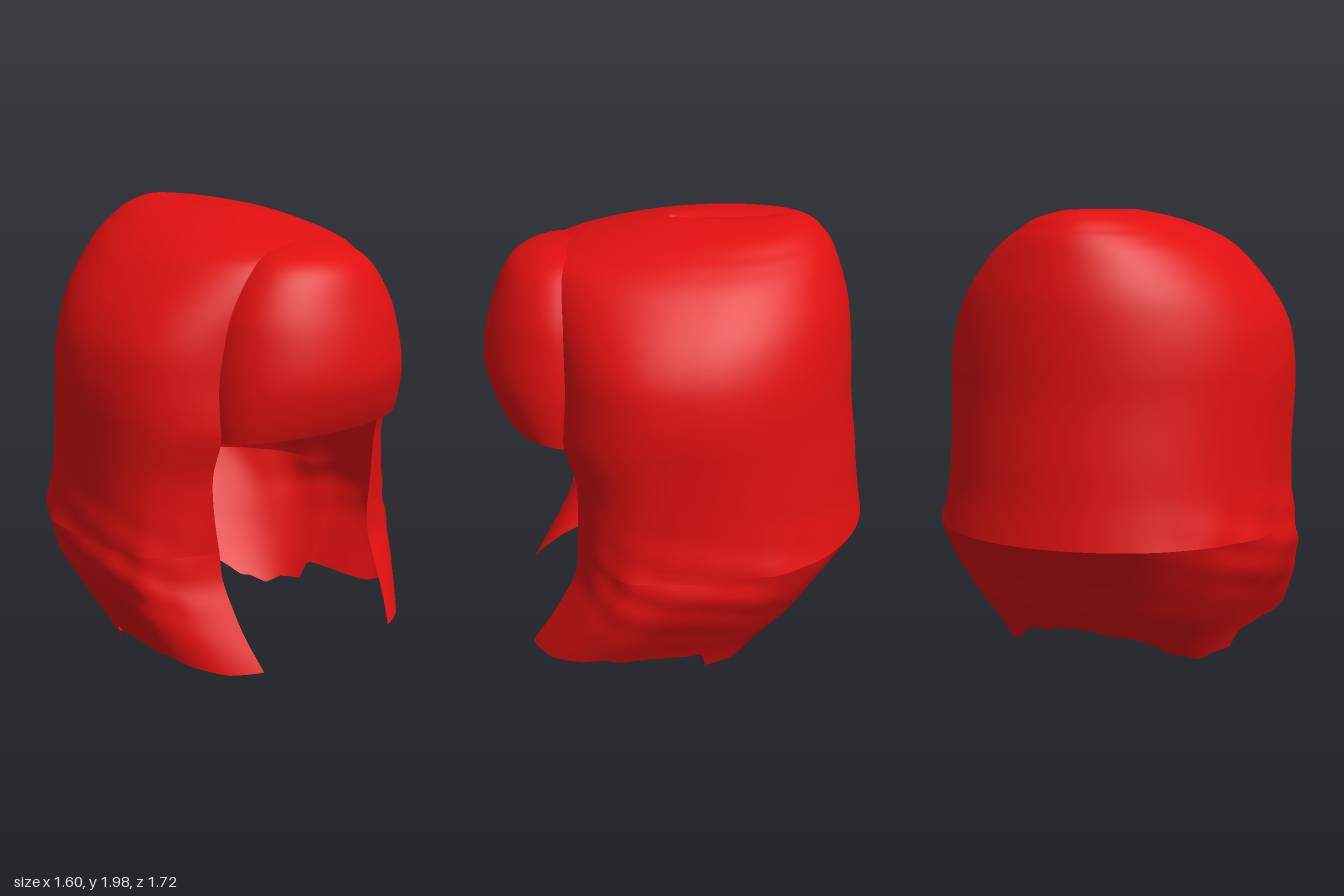
import * as THREE from 'three';

// Cross-sections from crown to brow to crease: [height, half width, back z, front edge z,
// centre z, front gap half width, front roundness, back roundness, front flare, fringe z]
const UPPER = [
  [1.975, 0, -0.38, 0.04, -0.26, 0, 1, 1, 0, 0],
  [1.99, 0.10, -0.51, 0.06, -0.26, 0, 1, 1, 0, 0.2],
  [1.955, 0.27, -0.60, 0.25, -0.20, 0, 0.95, 1, 0, 0.3],
  [1.905, 0.38, -0.65, 0.45, -0.12, 0, 0.9, 1, 0, 0.45],
  [1.87, 0.44, -0.675, 0.49, -0.10, 0.20, 0.85, 1, 0, 0.63],
  [1.80, 0.53, -0.705, 0.51, -0.08, 0.31, 0.8, 1, 0, 0.74],
  [1.65, 0.66, -0.75, 0.51, -0.04, 0.41, 0.75, 1, 0, 0.81],
  [1.50, 0.74, -0.77, 0.51, 0, 0.455, 0.7, 1, 0, 0.85],
  [1.35, 0.77, -0.78, 0.51, 0, 0.48, 0.7, 1, 0, 0.865],
  [1.22, 0.775, -0.785, 0.52, 0, 0.485, 0.7, 1, 0, 0.835],
  [1.11, 0.77, -0.795, 0.52, 0, 0.48, 0.7, 0.98, 0, 0.79],
  [0.95, 0.765, -0.815, 0.475, 0, 0.485, 0.68, 0.95, 0, 0.7],
  [0.78, 0.765, -0.83, 0.47, 0, 0.475, 0.62, 0.9, 0, 0.7],
  [0.60, 0.785, -0.855, 0.475, 0, 0.45, 0.58, 0.82, 0, 0.7],
];
const FRINGE_TOP = 3, FRINGE_END = 10;

// Under-curl below the crease, evenly spaced in height
const LOWER = [
  [0.60, 0.785, -0.855, 0.475, 0, 0.45, 0.58, 0.82, 0],
  [0.48, 0.78, -0.76, 0.49, 0, 0.445, 0.54, 0.85, 0.015],
  [0.36, 0.73, -0.68, 0.545, 0, 0.435, 0.5, 0.88, 0.05],
  [0.24, 0.665, -0.60, 0.61, 0, 0.42, 0.46, 0.9, 0.085],
  [0.12, 0.60, -0.48, 0.68, 0, 0.39, 0.42, 0.92, 0.11],
  [0.00, 0.55, -0.36, 0.74, 0, 0.36, 0.4, 0.95, 0.12],
];

// Smooth interpolation between table rows
function section(table, u) {
  const last = table.length - 1;
  const i = Math.min(Math.floor(u), last - 1), t = u - i;
  const row = k => table[Math.max(0, Math.min(last, k))];
  return table[i].map((b, c) => {
    const a = row(i - 1)[c], d = row(i + 1)[c], e = row(i + 2)[c];
    return b + 0.5 * t * (d - a + t * (2 * a - 5 * b + 4 * d - e + t * (3 * (b - d) + e - a)));
  });
}

// Point on a section; v runs from the left front edge, round the back, to the right
function shellPoint(table, u, v) {
  const [y, w, back, edge, cz, gap, frontRound, backRound, flare] = section(table, u);
  const start = w > 0.01 ? Math.asin(Math.min(1, Math.max(0, gap) / (w * (1 + flare)))) : 0;
  const a = start + v * (2 * Math.PI - 2 * start);
  const c = Math.cos(a);
  const depth = c > 0
    ? (edge - cz) * (c / Math.cos(start)) ** frontRound
    : (back - cz) * (-c) ** backRound;
  const wide = w * (1 + flare * THREE.MathUtils.smoothstep(c, -0.1, 0.25));
  // Folds on the sides around the height of the crease
  const mask = Math.exp(-(((y - 0.55) / 0.2) ** 2)) * Math.sin(a) ** 4;
  const k = 1 + 0.018 * mask * Math.sin(a * 13 + y * 17) * Math.cos(a * 5 - y * 21);
  return [wide * Math.sin(a) * k, y, cz + depth * k];
}

// Ragged bottom edge: height at fraction s from front edge (0) to nape (1)
const HEM = [[0, 0.10], [0.12, 0.10], [0.24, 0.13], [0.29, 0.16], [0.33, 0.125], [0.42, 0.125],
  [0.45, 0.05], [0.55, 0.045], [0.62, 0.01], [0.68, 0.045], [0.72, 0.05], [0.8, 0.12],
  [0.85, 0.145], [0.91, 0.15], [0.95, 0.18], [1, 0.18]];
function hem(v) {
  const s = 1 - Math.abs(2 * v - 1);
  const i = Math.max(1, HEM.findIndex(p => p[0] >= s - 1e-9));
  const [s0, y0] = HEM[i - 1], [s1, y1] = HEM[i];
  return y0 + (y1 - y0) * (s - s0) / (s1 - s0);
}

// Surface from a grid of points, rows running downward
function surface(name, rows, cols, point, material) {
  const pos = [], index = [];
  for (let i = 0; i <= rows; i++) {
    for (let j = 0; j <= cols; j++) {
      pos.push(...point(i / rows, j / cols));
      if (i < rows && j < cols) {
        const a = i * (cols + 1) + j, b = a + cols + 1;
        index.push(a, b, a + 1, a + 1, b, b + 1);
      }
    }
  }
  const g = new THREE.BufferGeometry();
  g.setAttribute('position', new THREE.Float32BufferAttribute(pos, 3));
  g.setIndex(index);
  g.computeVertexNormals();
  const mesh = new THREE.Mesh(g, material);
  mesh.name = name;
  return mesh;
}

export function createModel() {
  const group = new THREE.Group();
  group.name = 'hair';
  const red = new THREE.MeshStandardMaterial({ color: 0xe01010, side: THREE.DoubleSide });
  red.name = 'red hair';

  // Crown with its parting, sides and back down to the crease
  group.add(surface('crownAndSides', 65, 160,
    (t, v) => shellPoint(UPPER, t * (UPPER.length - 1), v), red));

  // Tucked-under ends with a ragged hem
  group.add(surface('underCurl', 20, 160,
    (t, v) => shellPoint(LOWER, t * (0.6 - hem(v)) / 0.12, v), red));

  // Rounded fringe bulging out over the forehead
  group.add(surface('fringe', 40, 40, (t, v) => {
    const row = section(UPPER, FRINGE_TOP + t * (FRINGE_END - FRINGE_TOP));
    const [y, , , edge, , gap] = row, out = row[9];
    const a = (v - 0.5) * Math.PI, c = Math.cos(a);
    return [Math.max(0, gap) * Math.sin(a), y + 0.03 * c * t * t, edge + (out - edge) * c];
  }, red));

  return group;
}
